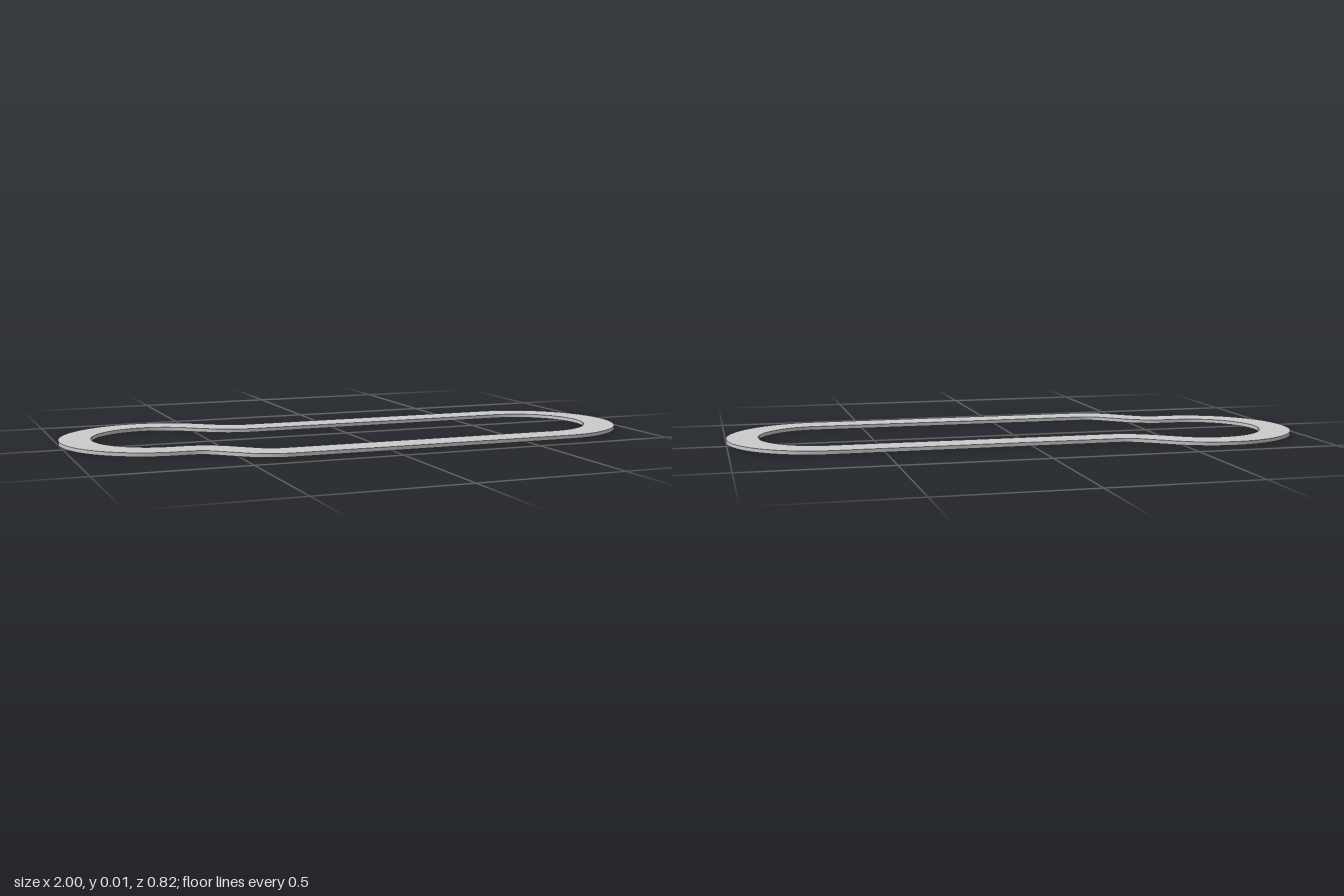
import * as THREE from 'three';
import { toCreasedNormals } from 'three/addons/utils/BufferGeometryUtils.js';

const HALF_WIDTH = 0.0545;
const THICKNESS = 0.013;

// Centreline arcs in plan (y is -z): centre x, centre y, radius, start and end degrees.
// Straight runs join each arc to the next; falling angles mean a clockwise bend.
const ARCS = [
  [0.671, -0.079, 0.2745, -90, 90],   // large right end
  [-0.3, 0.395, 0.2, -90, -127],      // back shoulder
  [-0.671, 0.081, 0.2745, 53, 264],   // round left end
  [-0.638, -0.363, 0.17, 84, 47],     // front neck
  [-0.335, -0.178, 0.17, 227, 270],   // front shoulder
];

// Trace the loop at a sideways offset from the centreline
function traceLoop(path, offset) {
  for (const [x, y, r, from, to] of ARCS) {
    const clockwise = to < from;
    const radius = clockwise ? r - offset : r + offset;
    path.absarc(x, y, radius, THREE.MathUtils.degToRad(from), THREE.MathUtils.degToRad(to), clockwise);
  }
  path.closePath();
  return path;
}

export function createModel() {
  const group = new THREE.Group();
  group.name = 'flatLoop';

  // Flat band: outer outline with the inner outline cut out
  const shape = traceLoop(new THREE.Shape(), HALF_WIDTH);
  shape.holes.push(traceLoop(new THREE.Path(), -HALF_WIDTH));
  const extruded = new THREE.ExtrudeGeometry(shape, {
    depth: THICKNESS, bevelEnabled: false, curveSegments: 28,
  });
  extruded.rotateX(-Math.PI / 2);

  const band = new THREE.Mesh(
    toCreasedNormals(extruded, Math.PI / 6),
    new THREE.MeshStandardMaterial({ color: 0xcccccc }),
  );
  band.name = 'band';
  group.add(band);
  return group;
}
